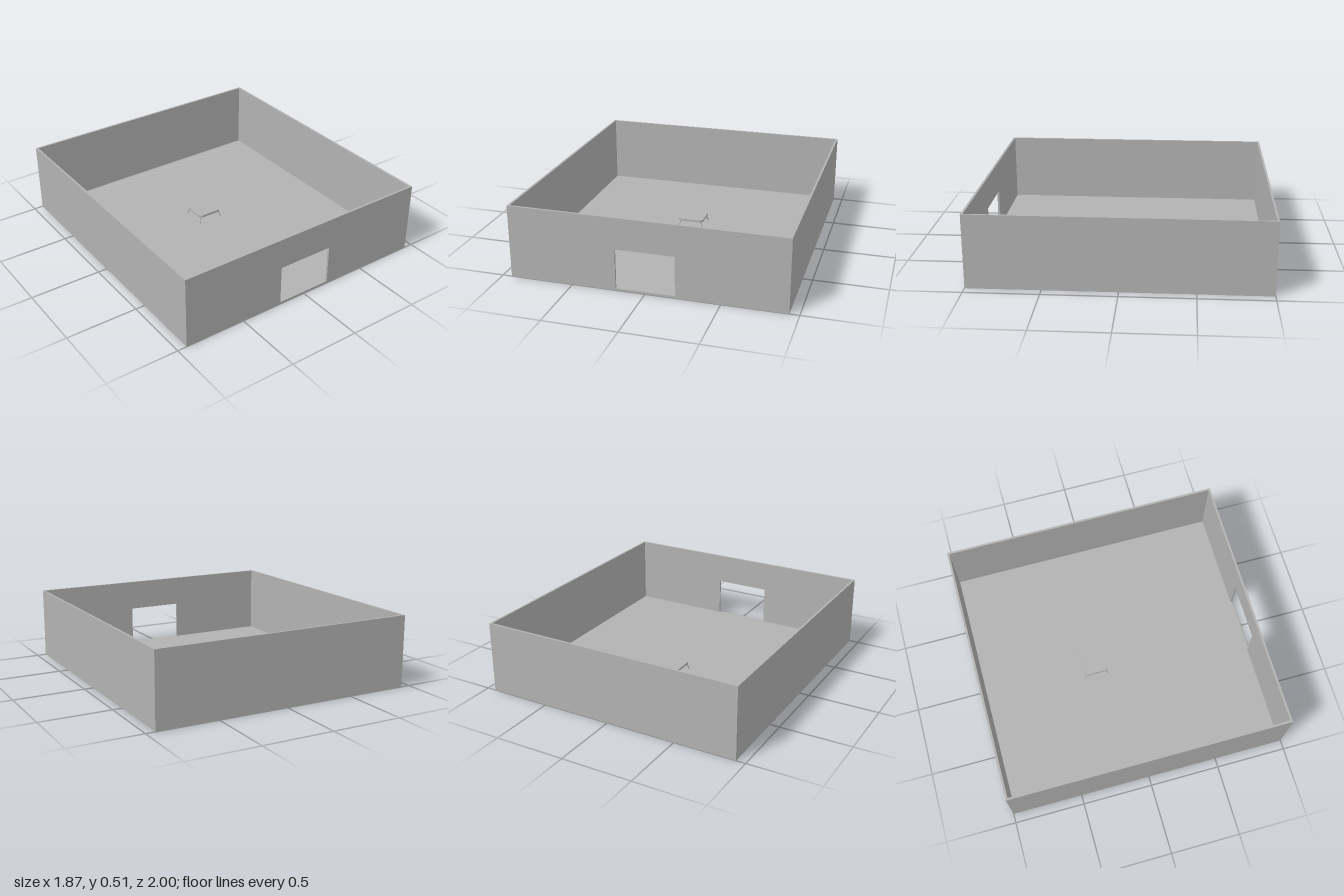
import * as THREE from 'three';

export function createModel() {
  const model = new THREE.Group();
  const grey = new THREE.MeshStandardMaterial({ color: 0xb2b2b2 });
  grey.name = 'plain grey';

  const W = 0.935, D = 1, T = 0.015, FLOOR = 0.015, TOP = 0.507;

  const add = (parent, name, geometry, x = 0, y = 0, z = 0) => {
    const mesh = new THREE.Mesh(geometry, grey);
    mesh.name = name;
    mesh.position.set(x, y, z);
    parent.add(mesh);
    return mesh;
  };

  // Floor slab and the three plain walls
  const wallH = TOP - FLOOR, wallY = (TOP + FLOOR) / 2;
  add(model, 'floor', new THREE.BoxGeometry(W * 2, FLOOR, D * 2), 0, FLOOR / 2, 0);
  add(model, 'backWall', new THREE.BoxGeometry(W * 2, wallH, T), 0, wallY, -D + T / 2);
  for (const [name, s] of [['leftWall', 1], ['rightWall', -1]]) {
    add(model, name, new THREE.BoxGeometry(T, wallH, (D - T) * 2), s * (W - T / 2), wallY, 0);
  }

  // Front wall with a doorway reaching the floor
  const front = new THREE.Shape([
    [-W, FLOOR], [-0.2, FLOOR], [-0.2, 0.29], [0.2, 0.29],
    [0.2, FLOOR], [W, FLOOR], [W, TOP], [-W, TOP],
  ].map(([x, y]) => new THREE.Vector2(x, y)));
  add(model, 'frontWall', new THREE.ExtrudeGeometry(front, { depth: T, bevelEnabled: false }), 0, 0, D - T);

  // Low table with chamfered corners
  const table = new THREE.Group();
  table.name = 'table';
  table.position.set(-0.007, FLOOR, -0.163);
  model.add(table);
  const hx = 0.092, hz = 0.087, c = 0.018;
  const top = new THREE.Shape([
    [-hx + c, -hz], [hx - c, -hz], [hx, -hz + c], [hx, hz - c],
    [hx - c, hz], [-hx + c, hz], [-hx, hz - c], [-hx, -hz + c],
  ].map(([x, y]) => new THREE.Vector2(x, y)));
  const topGeometry = new THREE.ExtrudeGeometry(top, { depth: 0.016, bevelEnabled: false });
  topGeometry.rotateX(-Math.PI / 2);
  add(table, 'tableTop', topGeometry, 0, 0.05, 0);

  // Splayed legs
  const up = new THREE.Vector3(0, 1, 0);
  for (const sx of [-1, 1]) for (const sz of [-1, 1]) {
    const foot = new THREE.Vector3(sx * 0.092, 0.003, sz * 0.087);
    const head = new THREE.Vector3(sx * 0.077, 0.052, sz * 0.072);
    const dir = head.clone().sub(foot);
    const leg = add(table, 'tableLeg', new THREE.CylinderGeometry(0.005, 0.004, dir.length(), 8));
    leg.position.copy(foot).add(head).multiplyScalar(0.5);
    leg.quaternion.setFromUnitVectors(up, dir.normalize());
  }

  return model;
}
